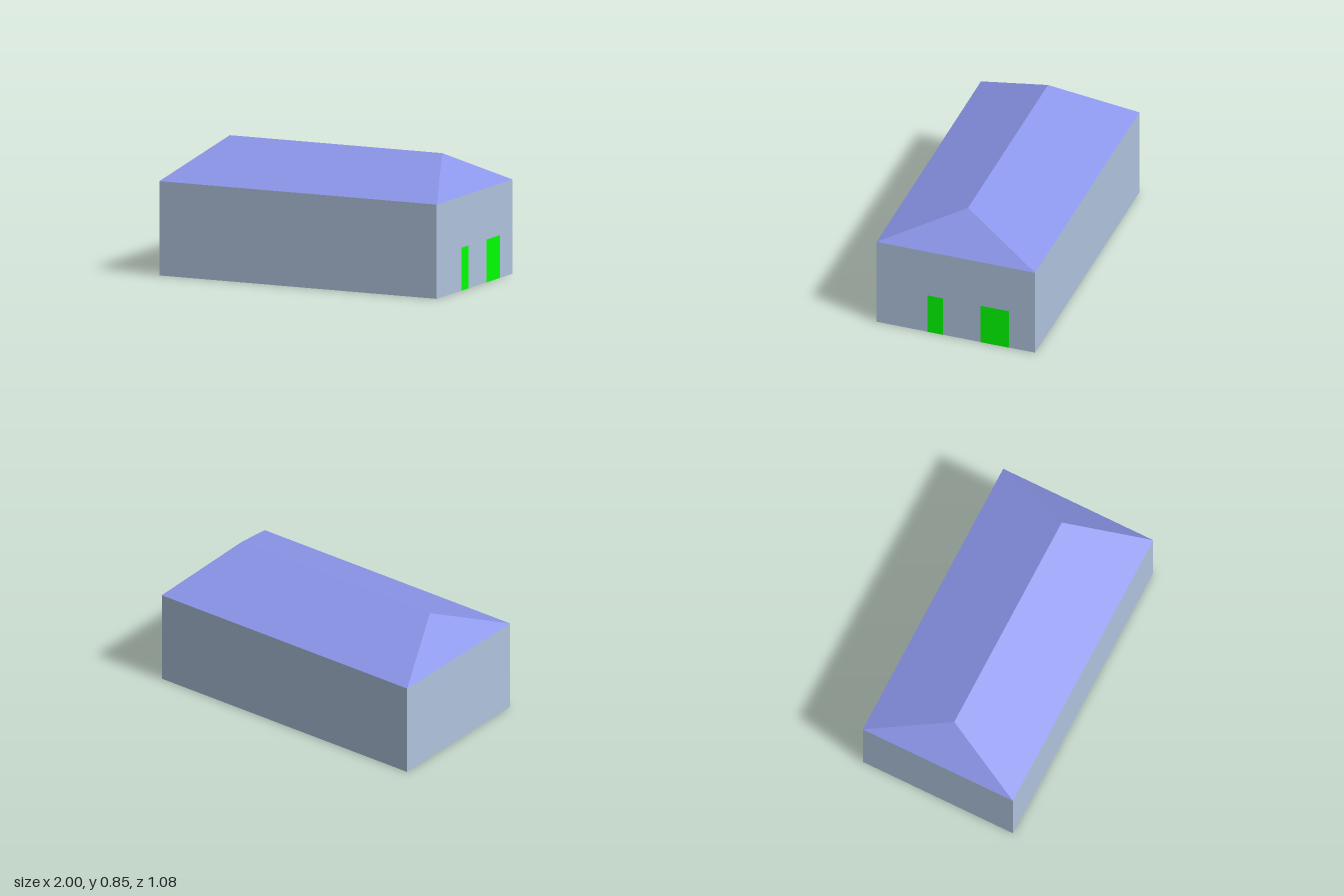
import * as THREE from 'three';

const W = 1, D = 0.541;              // half length and half depth
const EAVE = 0.615, RIDGE = 0.851;   // heights
const RIDGE_X = 0.765;               // half length of the ridge
const GAP = 0.002;                   // walls sit just inside the eaves and doors

const paint = (color) => new THREE.MeshStandardMaterial({ color, flatShading: true });

function addPart(group, name, geometry, material) {
  const mesh = new THREE.Mesh(geometry, material);
  mesh.name = name;
  group.add(mesh);
  return mesh;
}

// Hipped roof: four eave corners and two ridge ends
function hipRoof() {
  const points = [
    -W, EAVE, D, W, EAVE, D, W, EAVE, -D, -W, EAVE, -D,
    -RIDGE_X, RIDGE, 0, RIDGE_X, RIDGE, 0,
  ];
  const faces = [
    0, 1, 5, 0, 5, 4, // front slope
    2, 3, 4, 2, 4, 5, // back slope
    1, 2, 5, 3, 0, 4, // hip ends
    0, 3, 2, 0, 2, 1, // underside
  ];
  const indexed = new THREE.BufferGeometry();
  indexed.setAttribute('position', new THREE.Float32BufferAttribute(points, 3));
  indexed.setIndex(faces);
  const roof = indexed.toNonIndexed();
  roof.computeVertexNormals();
  return roof;
}

export function createModel() {
  const house = new THREE.Group();
  house.name = 'house';

  // Walls and floor
  const walls = addPart(house, 'walls',
    new THREE.BoxGeometry(2 * (W - GAP), EAVE, 2 * D), paint(0xb0c4de));
  walls.position.y = EAVE / 2;

  addPart(house, 'roof', hipRoof(), paint(0x8c96ea));

  // Two flat doors on the left (+x) end wall
  const green = paint(0x00ff00);
  const doorHeight = 0.28;
  const doors = [
    { name: 'narrowDoor', z: 0.14, width: 0.106 },
    { name: 'wideDoor', z: -0.265, width: 0.194 },
  ];
  for (const { name, z, width } of doors) {
    const door = addPart(house, name, new THREE.PlaneGeometry(width, doorHeight), green);
    door.rotation.y = Math.PI / 2;
    door.position.set(W, doorHeight / 2, z);
  }

  return house;
}
